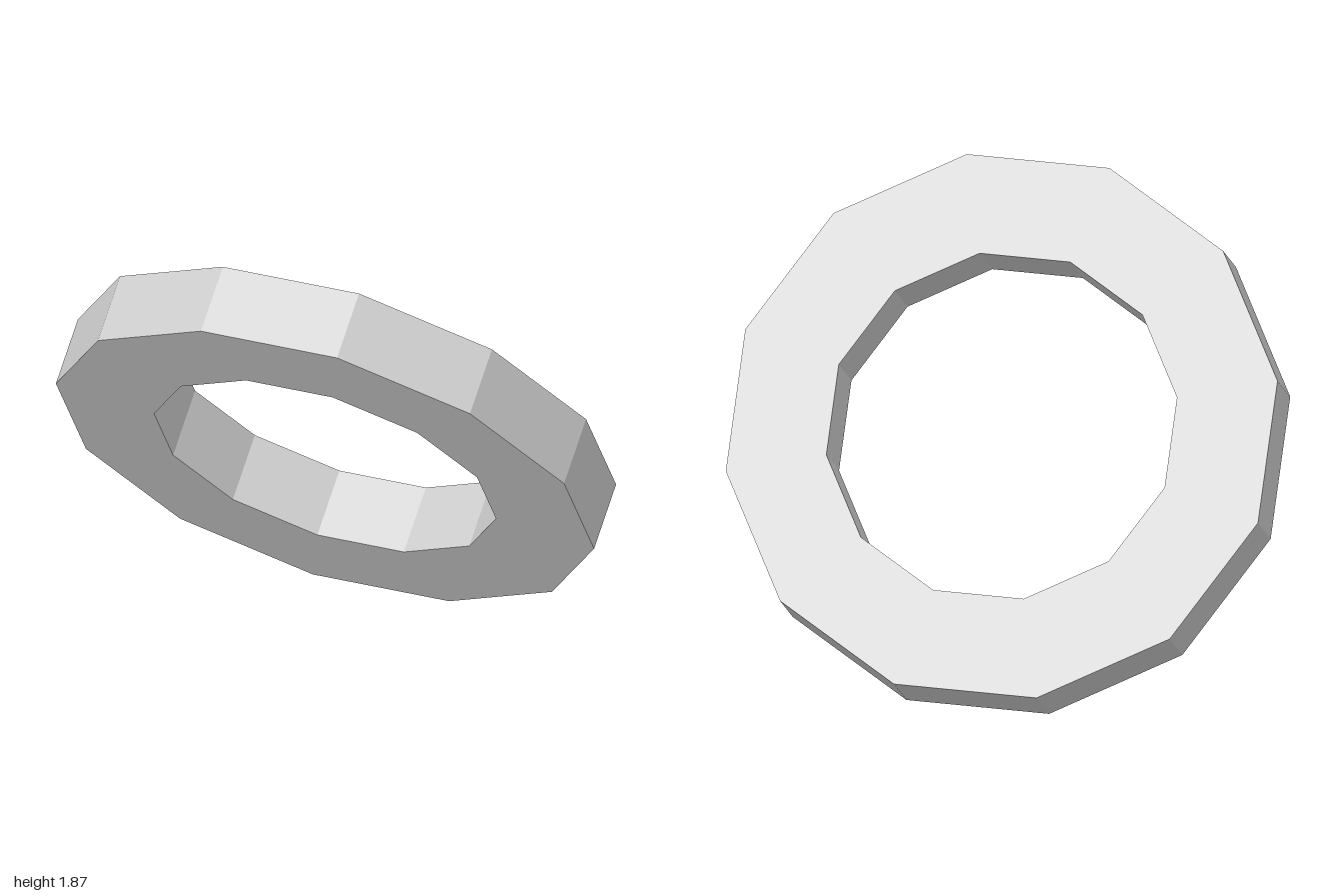
import * as THREE from 'three';

const SIDES = 12;
const PHASE = THREE.MathUtils.degToRad(17);
const OUTER = 1.026, INNER = 0.652, DEPTH = 0.267;

// corners of a regular polygon with the ring's phase
function polygon(radius) {
  return Array.from({ length: SIDES }, (_, i) => {
    const a = PHASE + (i / SIDES) * Math.PI * 2;
    return new THREE.Vector2(Math.cos(a) * radius, Math.sin(a) * radius);
  });
}

export function createModel() {
  const group = new THREE.Group();
  group.name = 'tiltedRing';

  // flat twelve-sided ring with a matching hole
  const shape = new THREE.Shape(polygon(OUTER));
  shape.holes.push(new THREE.Path(polygon(INNER)));
  const geometry = new THREE.ExtrudeGeometry(shape, { depth: DEPTH, bevelEnabled: false });
  geometry.translate(0, 0, -DEPTH / 2);

  // lean the top forward and rest the lowest edge on the ground
  geometry.rotateX(Math.PI / 6);
  geometry.computeBoundingBox();
  geometry.translate(0, -geometry.boundingBox.min.y, 0);

  const ring = new THREE.Mesh(
    geometry,
    new THREE.MeshStandardMaterial({ color: 0xcccccc, flatShading: true })
  );
  ring.name = 'ring';
  group.add(ring);
  return group;
}
